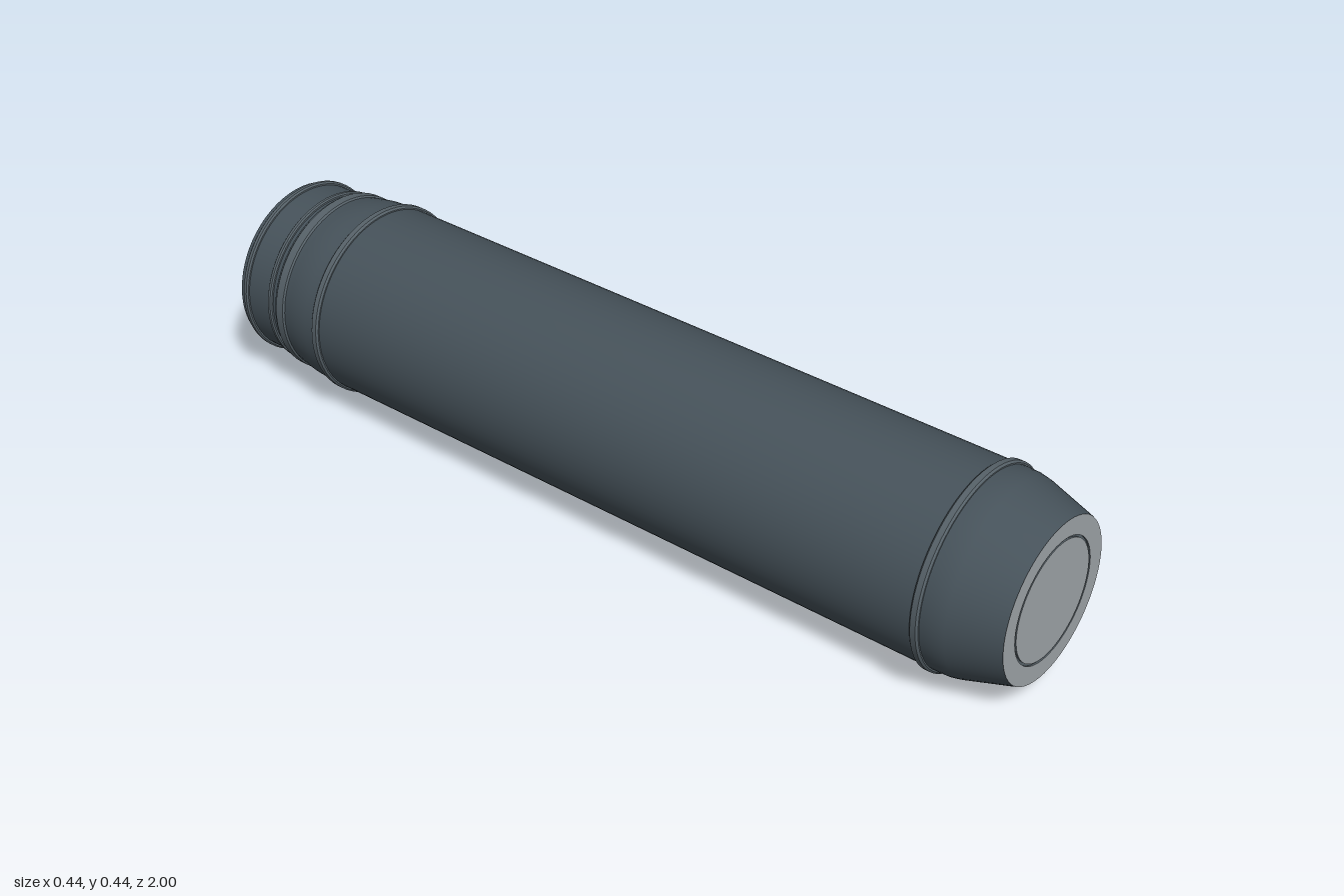
import * as THREE from 'three';
import { toCreasedNormals } from 'three/addons/utils/BufferGeometryUtils.js';

const AXIS_Y = 0.222;
const SEGMENTS = 72;
const material = (color) => new THREE.MeshStandardMaterial({ color });

export function createModel() {
  const model = new THREE.Group();
  const dark = material(0x46525a);
  const trim = material(0x566168);
  const pale = material(0x9ea4a8);

  // Revolves [radius, z] pairs, listed from back to front, around the long axis
  function turned(name, profile, mat) {
    const points = profile.map(([r, z]) => new THREE.Vector2(r, z));
    const lathe = new THREE.LatheGeometry(points, SEGMENTS);
    const mesh = new THREE.Mesh(toCreasedNormals(lathe, 0.35), mat);
    mesh.name = name;
    mesh.rotation.x = Math.PI / 2;
    mesh.position.y = AXIS_Y;
    model.add(mesh);
  }

  // Raised band with small bevels
  function band(name, z, width, inner, outer) {
    const h = width / 2, b = Math.min(0.004, h / 2);
    turned(name, [
      [inner, z - h], [outer - b, z - h], [outer, z - h + b],
      [outer, z + h - b], [outer - b, z + h], [inner, z + h],
    ], trim);
  }

  // Main tube, tapering at the back shoulder and the nose
  turned('casing', [
    [0.19, -0.885], [0.203, -0.885], [0.204, -0.86], [0.209, -0.835],
    [0.213, -0.81], [0.215, -0.78], [0.215, 0.85],
    [0.214, 0.872], [0.21, 0.892], [0.177, 1.0],
  ], dark);

  // Narrower neck with a closed back
  turned('neck', [[0, -1], [0.196, -1], [0.196, -0.88]], dark);

  // Flat front plate with a thin inlaid ring
  turned('frontPlate', [[0.177, 0.999], [0.135, 0.999]], pale);
  turned('frontInlay', [[0.135, 0.999], [0.135, 0.995], [0.13, 0.995], [0.13, 0.999]], trim);
  turned('frontDisc', [[0.13, 0.999], [0, 0.999]], pale);

  // Raised bands along the tube
  band('frontBand', 0.83, 0.02, 0.21, 0.222);
  band('shoulderBand', -0.745, 0.02, 0.21, 0.222);
  band('collarBand', -0.866, 0.028, 0.19, 0.209);
  band('neckBand', -0.905, 0.012, 0.19, 0.203);
  band('rearBand', -0.982, 0.014, 0.19, 0.203);

  return model;
}
